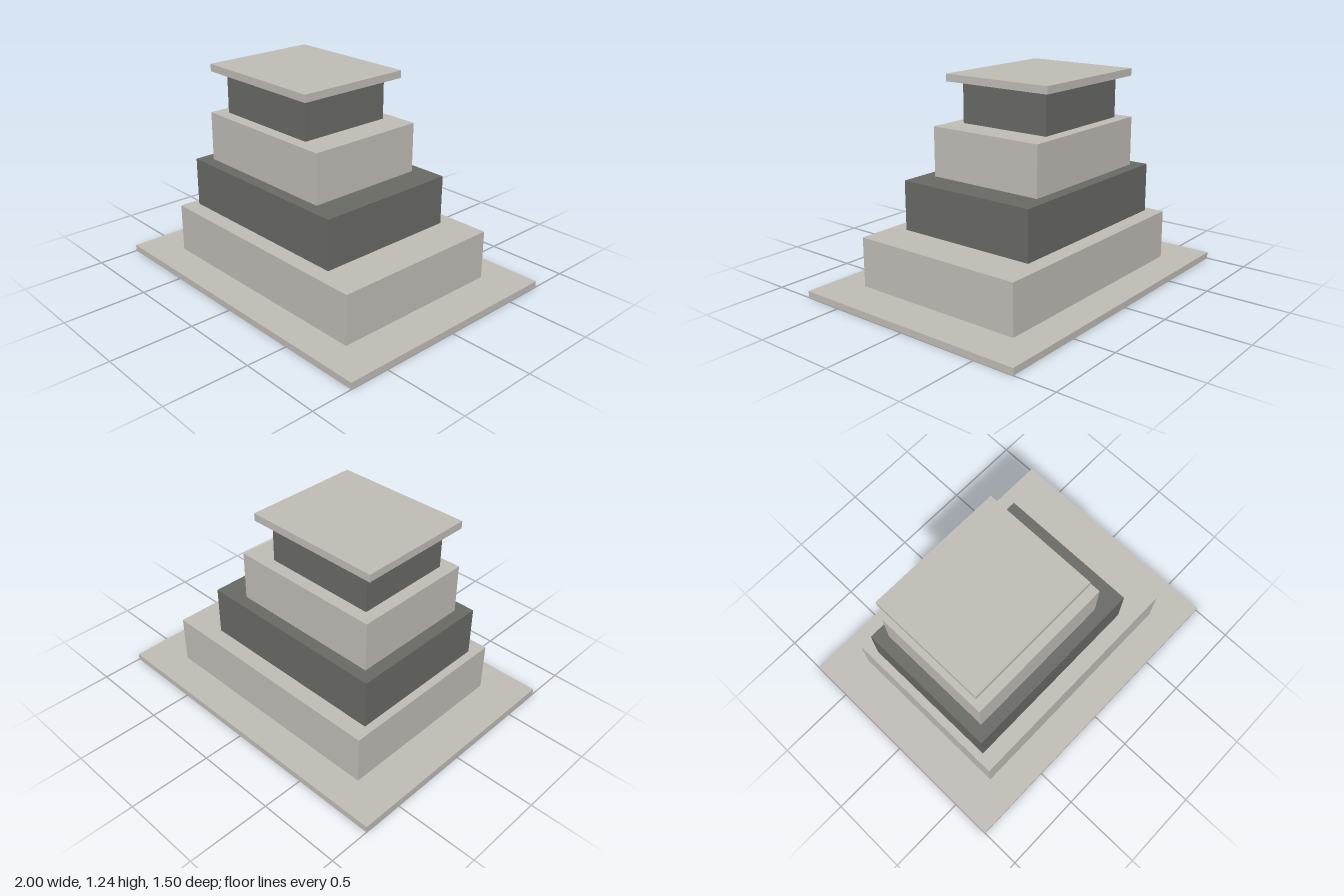
import * as THREE from 'three';

export function createModel() {
  const model = new THREE.Group();
  const stone = new THREE.MeshStandardMaterial({ name: 'pale stone', color: 0xbfbbb5 });
  const slate = new THREE.MeshStandardMaterial({ name: 'dark slate', color: 0x686963 });

  // Stacked tiers: name, material, left x, right x, depth, height
  const tiers = [
    ['groundSlab', stone, -1, 1, 1.5, 0.04],
    ['firstTier', stone, -0.75, 0.75, 1.1, 0.3],
    ['secondTier', slate, -0.7, 0.5, 0.9, 0.3],
    ['thirdTier', stone, -0.625, 0.325, 0.75, 0.3],
    ['fourthTier', slate, -0.55, 0.15, 0.6, 0.25],
    ['roofSlab', stone, -0.625, 0.225, 0.726, 0.045],
  ];

  // Each tier rests on the one below
  let y = 0;
  for (const [name, material, x0, x1, depth, height] of tiers) {
    const tier = new THREE.Mesh(new THREE.BoxGeometry(x1 - x0, height, depth), material);
    tier.name = name;
    tier.position.set((x0 + x1) / 2, y + height / 2, 0);
    model.add(tier);
    y += height;
  }
  return model;
}
